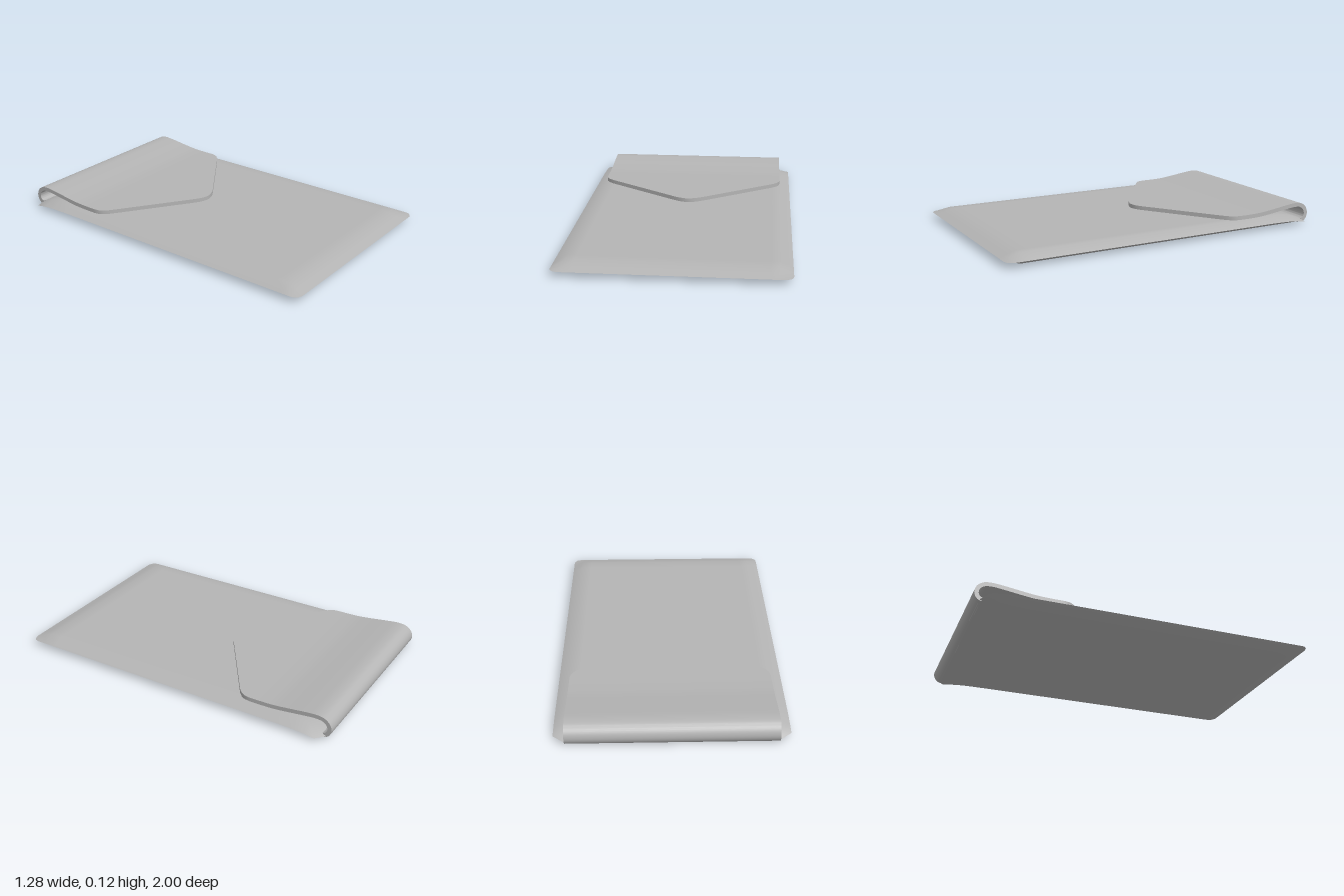
import * as THREE from 'three';
import { toCreasedNormals } from 'three/addons/utils/BufferGeometryUtils.js';

// Skin closed rings of [x, y, z] points, then soften shallow angles
function loft(rings, crease) {
  const n = rings[0].length;
  const index = [];
  for (let i = 0; i < rings.length - 1; i++) {
    for (let j = 0; j < n; j++) {
      const k = (j + 1) % n;
      const a = i * n + j, b = i * n + k, c = b + n, d = a + n;
      index.push(a, b, c, a, c, d);
    }
  }
  const last = (rings.length - 1) * n;
  for (let j = 1; j < n - 1; j++) {
    index.push(0, j + 1, j, last, last + j, last + j + 1);
  }
  const geometry = new THREE.BufferGeometry();
  geometry.setAttribute('position', new THREE.Float32BufferAttribute(rings.flat(2), 3));
  geometry.setIndex(index);
  return toCreasedNormals(geometry, crease);
}

// Pouch: six-sided sections with a thin side rim; [z, rim half width, flat half width, bottom, rim, top]
function pouchGeometry() {
  const rows = [
    [-0.97, 0.575, 0.54, 0, 0.004, 0.008],
    [-0.93, 0.64, 0.57, 0, 0.016, 0.03],
    [-0.87, 0.64, 0.57, 0, 0.024, 0.048],
    [-0.8, 0.64, 0.57, 0, 0.029, 0.06],
    [-0.7, 0.64, 0.57, 0, 0.031, 0.062],
    [0, 0.64, 0.57, 0, 0.031, 0.062],
    [0.83, 0.64, 0.57, 0, 0.031, 0.062],
    [0.9, 0.64, 0.57, 0, 0.031, 0.062],
    [0.955, 0.64, 0.57, 0.017, 0.031, 0.045],
    [0.975, 0.635, 0.57, 0.023, 0.031, 0.039],
    [0.99, 0.622, 0.57, 0.028, 0.031, 0.034],
    [1, 0.595, 0.57, 0.031, 0.031, 0.031],
  ];
  return loft(rows.map(([z, w, f, bottom, rim, top]) => {
    const s = f - 0.05;
    return [
      [w, rim, z], [f, top, z], [s, top, z], [-s, top, z], [-f, top, z],
      [-w, rim, z], [-f, bottom, z], [-s, bottom, z], [s, bottom, z], [f, bottom, z],
    ];
  }), 0.6);
}

// Flap: a strap of even thickness that curls over the mouth and narrows to a rounded tip
function flapGeometry() {
  const curl = new THREE.CatmullRomCurve3([
    [0.008, -0.955], [0.017, -0.975], [0.045, -0.988], [0.078, -0.979], [0.101, -0.95],
    [0.107, -0.91], [0.101, -0.84], [0.088, -0.74], [0.078, -0.65], [0.075, -0.56], [0.075, -0.5],
  ].map(([y, z]) => new THREE.Vector3(0, y, z)));
  const half = 0.012;
  const section = (w, inner, outer) => [
    [w, inner.y, inner.z], [w, outer.y, outer.z], [-w, outer.y, outer.z], [-w, inner.y, inner.z],
  ];
  const rings = [];
  for (let i = 0; i <= 44; i++) {
    const p = curl.getPoint(i / 44);
    const t = curl.getTangent(i / 44);
    const normal = new THREE.Vector3(0, t.z, -t.y).multiplyScalar(half);
    rings.push(section(0.575, p.clone().sub(normal), p.clone().add(normal)));
  }
  const tongue = [
    [-0.47, 0.57], [-0.445, 0.556], [-0.42, 0.53], [-0.395, 0.495], [-0.36, 0.444],
    [-0.25, 0.285], [-0.15, 0.14], [-0.125, 0.104], [-0.103, 0.07], [-0.09, 0.042], [-0.082, 0.015],
  ];
  for (const [z, w] of tongue) {
    rings.push(section(w, { y: 0.063, z }, { y: 0.087, z }));
  }
  return loft(rings, 0.6);
}

export function createModel() {
  const model = new THREE.Group();
  model.name = 'envelopePouch';
  const grey = new THREE.MeshStandardMaterial({ color: 0xb4b4b4, side: THREE.DoubleSide });
  grey.name = 'grey';

  const pouch = new THREE.Mesh(pouchGeometry(), grey);
  pouch.name = 'pouch';
  const flap = new THREE.Mesh(flapGeometry(), grey);
  flap.name = 'flap';
  model.add(pouch, flap);
  return model;
}
